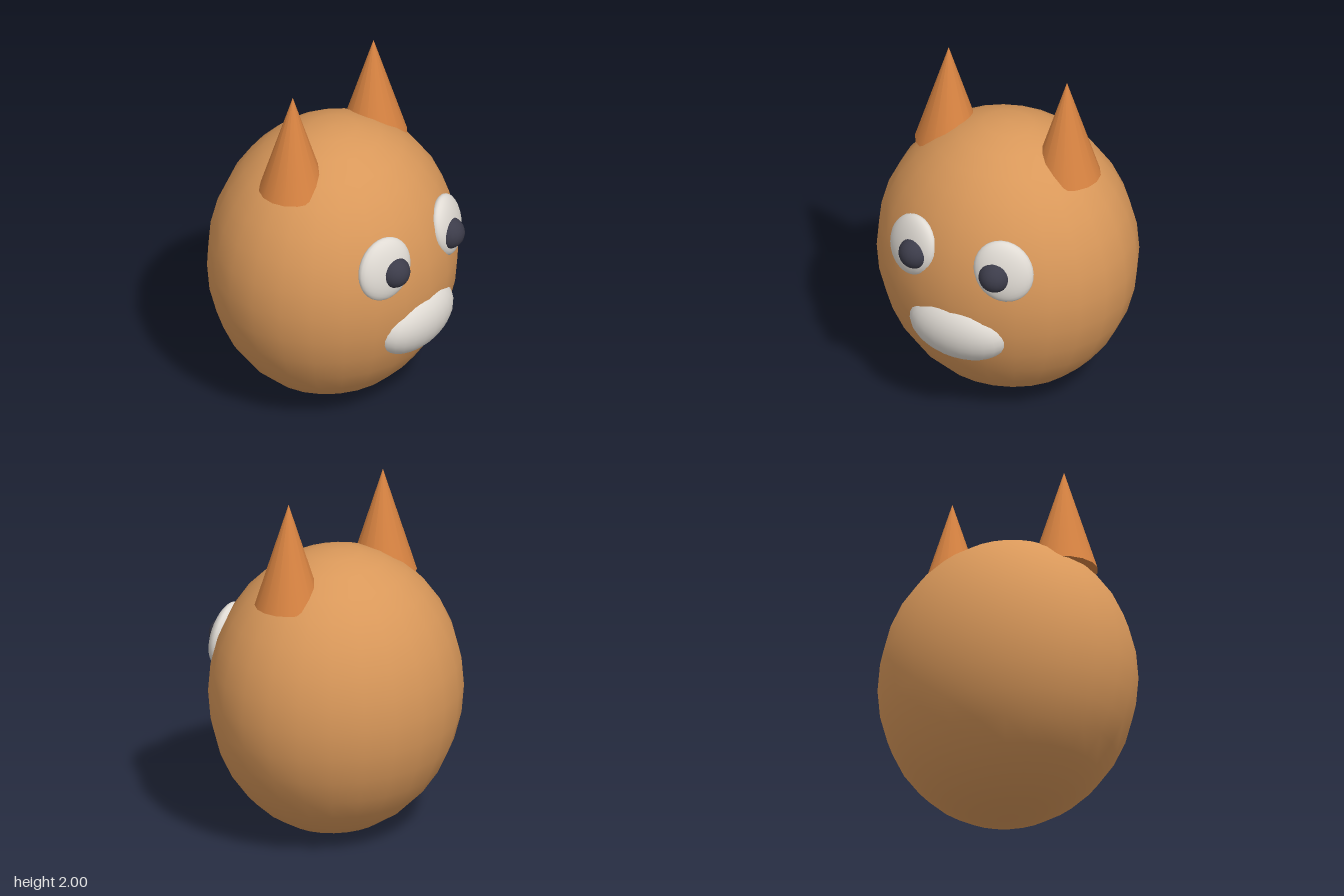
import * as THREE from 'three';

const mat = (name, color) => {
  const m = new THREE.MeshStandardMaterial({ color });
  m.name = name;
  return m;
};

export function createModel() {
  const fur = mat('tan fur', 0xd9985a);
  const earFur = mat('orange ear', 0xd98442);
  const white = mat('warm white', 0xe0dbd4);
  const dark = mat('dark pupil', 0x3c3c4a);

  const model = new THREE.Group();
  model.name = 'roundCreature';

  const add = (name, geometry, material, position) => {
    const mesh = new THREE.Mesh(geometry, material);
    mesh.name = name;
    mesh.position.set(...position);
    model.add(mesh);
    return mesh;
  };
  // Sphere stretched to the given radii
  const ellipsoid = (rx, ry, rz, w = 24, h = 16) =>
    new THREE.SphereGeometry(1, w, h).scale(rx, ry, rz);

  // Egg-shaped body
  add('body', ellipsoid(0.737, 0.815, 0.667), fur, [0, 0.815, -0.022]);

  // Muzzle, tipped slightly downward
  const muzzle = add('muzzle', ellipsoid(0.3, 0.195, 0.155), white, [0, 0.605, 0.53]);
  muzzle.rotation.x = 0.22;

  // Mirrored ears, eyes and pupils
  for (const [side, s] of [['left', 1], ['right', -1]]) {
    add(side + 'Ear', new THREE.ConeGeometry(0.187, 0.59, 16), earFur, [s * 0.37, 1.705, -0.02]);

    const eye = add(side + 'Eye', ellipsoid(0.165, 0.182, 0.065), white, [s * 0.283, 1.06, 0.542]);
    eye.rotation.set(-0.17, s * 0.33, s * 0.42, 'YXZ');

    add(side + 'Pupil', ellipsoid(0.09, 0.09, 0.09, 20, 14), dark, [s * 0.25, 1.04, 0.583]);
  }
  return model;
}
